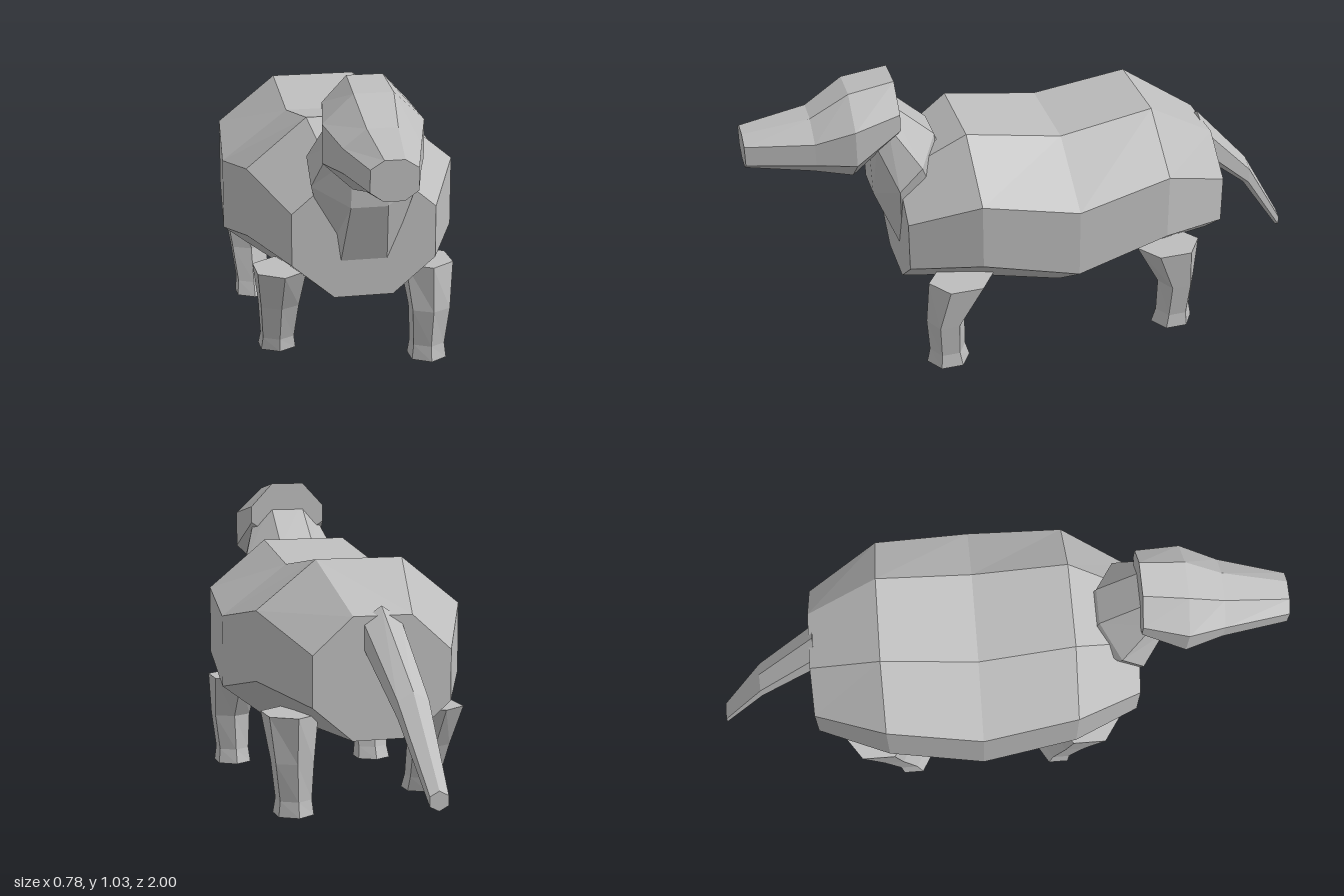
import * as THREE from 'three';

// Flat-shaded skin over matching rings of points, capped at both ends.
function loft(rings) {
  const n = rings[0].length, tris = [];
  for (let r = 0; r < rings.length - 1; r++) {
    for (let i = 0; i < n; i++) {
      const j = (i + 1) % n;
      const a = rings[r][i], b = rings[r][j], c = rings[r + 1][j], d = rings[r + 1][i];
      tris.push([a, b, c], [a, c, d]);
    }
  }
  const first = rings[0], last = rings[rings.length - 1];
  for (let i = 1; i < n - 1; i++) {
    tris.push([first[0], first[i + 1], first[i]], [last[0], last[i], last[i + 1]]);
  }
  // make all faces point outward
  const volume = tris.reduce((s, [a, b, c]) => s + a.dot(b.clone().cross(c)), 0);
  if (volume < 0) tris.forEach((t) => t.reverse());
  const geometry = new THREE.BufferGeometry().setFromPoints(tris.flat());
  geometry.computeVertexNormals();
  return geometry;
}

// Eight-sided ring: ys and zs run from the bottom pair to the top pair.
function octagon(cx, inner, outer, ys, zs) {
  const z = Array.isArray(zs) ? zs : [zs, zs, zs, zs];
  const w = [inner, outer, outer, inner];
  const half = (side) => ys.map((y, i) => new THREE.Vector3(cx + side * w[i], y, z[i]));
  return [...half(1), ...half(-1).reverse()];
}

// Six-sided ring around a centre; axes a and b span its plane.
function hexagon(centre, a, b) {
  return Array.from({ length: 6 }, (_, i) => {
    const t = (i * Math.PI) / 3;
    return new THREE.Vector3(...centre)
      .addScaledVector(new THREE.Vector3(...a), Math.cos(t))
      .addScaledVector(new THREE.Vector3(...b), Math.sin(t) / Math.sin(Math.PI / 3));
  });
}

export function createModel() {
  const model = new THREE.Group();
  const grey = new THREE.MeshStandardMaterial({ color: 0xbdbdbd, flatShading: true });
  grey.name = 'grey';
  const add = (name, rings) => {
    const mesh = new THREE.Mesh(loft(rings), grey);
    mesh.name = name;
    model.add(mesh);
  };

  // Body, chest to rump, with a sagging middle
  add('body', [
    octagon(0, 0.10, 0.243, [0.278, 0.398, 0.575, 0.695], 0.5),
    octagon(0, 0.15, 0.355, [0.27, 0.437, 0.672, 0.84], 0.27),
    octagon(0, 0.16, 0.39, [0.193, 0.365, 0.612, 0.785], -0.06),
    octagon(0, 0.15, 0.355, [0.27, 0.437, 0.672, 0.835], -0.39),
    octagon(0, 0.10, 0.235, [0.27, 0.385, 0.555, 0.675], -0.64),
  ]);

  // Neck, leaning forward out of the chest
  add('neck', [
    octagon(0, 0.08, 0.11, [0.38, 0.43, 0.55, 0.62], [0.49, 0.45, 0.36, 0.3]),
    octagon(0, 0.062, 0.18, [0.61, 0.67, 0.75, 0.81], [0.58, 0.51, 0.43, 0.36]),
    octagon(0, 0.06, 0.12, [0.78, 0.82, 0.9, 0.95], [0.585, 0.57, 0.53, 0.51]),
  ]);

  // Head, snout tip to nape
  add('head', [
    octagon(-0.02, 0.032, 0.075, [0.757, 0.787, 0.858, 0.885], 1),
    octagon(-0.006, 0.05, 0.125, [0.723, 0.787, 0.866, 0.925], 0.775),
    octagon(-0.005, 0.065, 0.165, [0.693, 0.785, 0.912, 1.005], 0.645),
    octagon(0, 0.06, 0.14, [0.832, 0.885, 0.945, 1.03], 0.49),
  ]);

  // Legs: each row is x, y, z, half width, half length
  const legs = {
    frontLeftLeg: [
      [0.255, 0.335, 0.325, 0.083, 0.115], [0.255, 0.18, 0.385, 0.065, 0.068],
      [0.25, 0.052, 0.38, 0.054, 0.064], [0.25, 0, 0.378, 0.06, 0.077],
    ],
    frontRightLeg: [
      [-0.255, 0.335, 0.325, 0.083, 0.115], [-0.252, 0.19, 0.28, 0.065, 0.068],
      [-0.25, 0.06, 0.235, 0.054, 0.06], [-0.25, 0.016, 0.225, 0.06, 0.07],
    ],
    backLeftLeg: [
      [0.255, 0.335, -0.435, 0.083, 0.115], [0.255, 0.18, -0.47, 0.065, 0.068],
      [0.25, 0.052, -0.465, 0.054, 0.064], [0.25, 0, -0.462, 0.06, 0.077],
    ],
    backRightLeg: [
      [-0.255, 0.335, -0.435, 0.083, 0.115], [-0.252, 0.19, -0.385, 0.065, 0.068],
      [-0.25, 0.07, -0.335, 0.054, 0.06], [-0.25, 0.02, -0.32, 0.06, 0.07],
    ],
  };
  for (const [name, rows] of Object.entries(legs)) {
    add(name, rows.map(([x, y, z, w, l]) => hexagon([x, y, z], [0, 0, l], [w, 0, 0])));
  }

  // Tail, drooping backward and curving slightly aside
  add('tail', [
    hexagon([0, 0.62, -0.625], [0, 0.085, 0], [0.065, 0, 0]),
    hexagon([-0.033, 0.405, -0.84], [0, 0.055, 0], [0.052, 0, 0]),
    hexagon([-0.062, 0.147, -1], [0, 0.032, 0], [0.031, 0, 0]),
  ]);

  return model;
}
